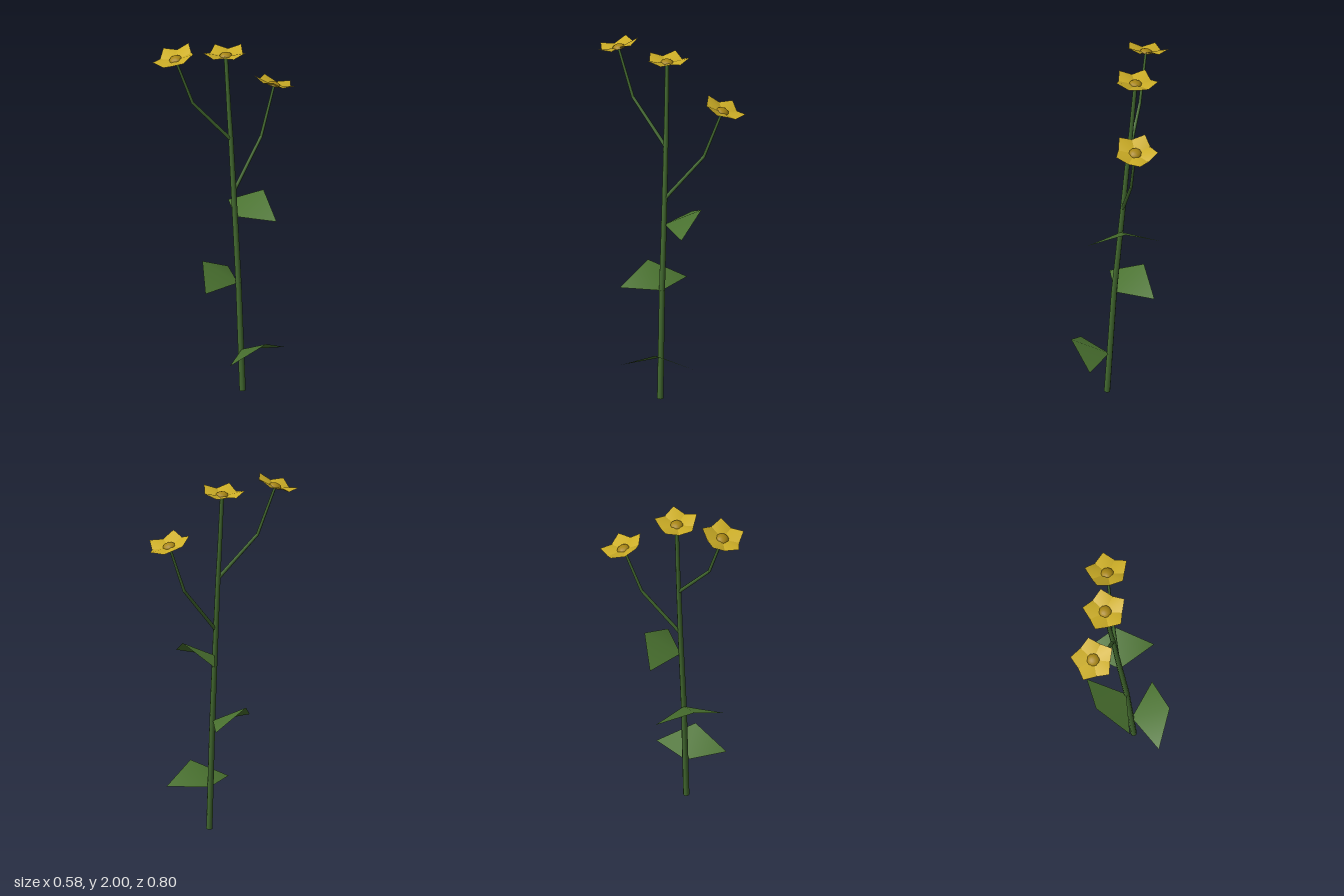
import * as THREE from 'three';

const V = (p) => new THREE.Vector3(...p);
const UP = new THREE.Vector3(0, 1, 0);

const paint = (name, color, side = THREE.FrontSide) => {
  const m = new THREE.MeshStandardMaterial({ color, side });
  m.name = name;
  return m;
};

export function createModel() {
  const stemGreen = paint('stem green', 0x42692f);
  const leafGreen = paint('leaf green', 0x4a7230, THREE.DoubleSide);
  const petalYellow = paint('petal yellow', 0xcdae26, THREE.DoubleSide);
  const centreGold = paint('centre gold', 0xa88614);

  const model = new THREE.Group();
  model.name = 'floweringStalk';

  const add = (parent, name, geometry, material) => {
    const mesh = new THREE.Mesh(geometry, material);
    mesh.name = name;
    parent.add(mesh);
    return mesh;
  };

  // Tapered stalk made of straight pieces through the given points
  const stalk = (name, points, r0, r1) => {
    const group = new THREE.Group();
    group.name = name;
    const n = points.length - 1;
    for (let i = 0; i < n; i++) {
      const a = V(points[i]);
      const d = V(points[i + 1]).sub(a);
      const ra = THREE.MathUtils.lerp(r0, r1, i / n);
      const rb = THREE.MathUtils.lerp(r0, r1, (i + 1) / n);
      const piece = add(group, name + 'Piece', new THREE.CylinderGeometry(rb, ra, d.length(), 8), stemGreen);
      piece.position.copy(a).addScaledVector(d, 0.5);
      piece.quaternion.setFromUnitVectors(UP, d.normalize());
    }
    model.add(group);
  };

  // Kite folded along the ridge from base to tip
  const kite = (base, sideA, tip, sideB) => {
    const g = new THREE.BufferGeometry();
    g.setAttribute('position', new THREE.Float32BufferAttribute([...base, ...sideA, ...tip, ...sideB], 3));
    g.setIndex([0, 1, 2, 0, 2, 3]);
    g.computeVertexNormals();
    return g;
  };

  // Five-petalled flower facing along its stalk
  const flower = (name, centre, direction) => {
    const group = new THREE.Group();
    group.name = name;
    const polar = (r, y, a) => [r * Math.cos(a), y, -r * Math.sin(a)];
    const half = Math.PI / 5;
    for (let i = 0; i < 5; i++) {
      const a = Math.PI / 2 + i * half * 2;
      add(group, 'petal', kite([0, 0, 0], polar(0.093, 0.01, a - half), polar(0.121, 0.034, a),
        polar(0.093, 0.01, a + half)), petalYellow);
    }
    const button = add(group, 'flowerCentre',
      new THREE.SphereGeometry(0.036, 10, 5, 0, Math.PI * 2, 0, Math.PI / 2), centreGold);
    button.scale.y = 0.65;
    group.position.set(...centre);
    group.quaternion.setFromUnitVectors(UP, V(direction).normalize());
    model.add(group);
  };

  // Stem and side branches
  stalk('mainStem', [[0.095, 0, 0.043], [0.058, 0.62, 0.036], [0.015, 1.1, 0.026],
    [-0.013, 1.43, 0.021], [-0.03, 1.6, 0.019], [-0.055, 1.905, 0.017]], 0.017, 0.011);
  stalk('backBranch', [[0.013, 1.14, 0.022], [0.013, 1.39, -0.185], [0.013, 1.655, -0.283]], 0.01, 0.007);
  stalk('frontBranch', [[-0.013, 1.43, 0.021], [-0.12, 1.67, 0.205], [-0.17, 1.932, 0.285]], 0.01, 0.007);

  // Flowers
  flower('topFlower', [-0.055, 1.903, 0.017], [-0.08, 1, 0]);
  flower('backFlower', [0.012, 1.655, -0.285], [0, 1, -0.36]);
  flower('frontFlower', [-0.17, 1.932, 0.285], [-0.16, 1, 0.28]);

  // Leaves: base, side corner, raised tip, side corner
  [
    ['lowerLeaf', [0.085, 0.235, 0.04], [0.195, 0.235, 0.245], [0.288, 0.335, 0.06], [0.23, 0.235, -0.143]],
    ['middleLeaf', [0.055, 0.615, 0.037], [-0.137, 0.615, -0.085], [-0.125, 0.715, 0.125], [0.033, 0.615, 0.265]],
    ['upperLeaf', [0.022, 0.99, 0.025], [0.23, 0.99, -0.08], [0.04, 1.09, -0.175], [-0.16, 0.99, -0.11]],
  ].forEach(([name, ...corners]) => add(model, name, kite(...corners), leafGreen));

  return model;
}
